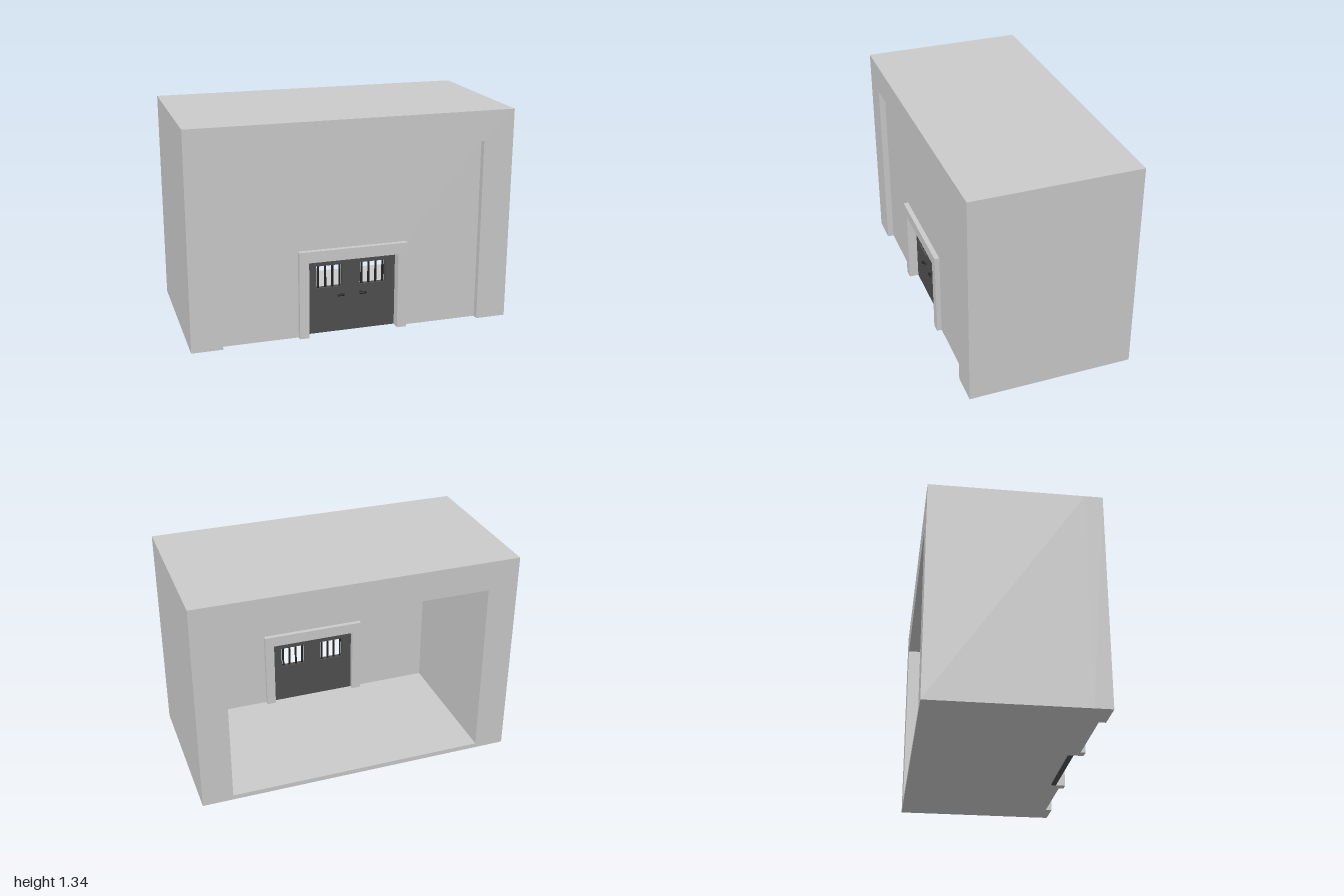
import * as THREE from 'three';

const mat = (color) => new THREE.MeshStandardMaterial({ color, flatShading: true });

export function createModel() {
  const model = new THREE.Group();
  const grey = mat(0xcccccc), dark = mat(0x505050), iron = mat(0x222222);
  const H = 1.335, D = 0.51, floorY = 0.03;

  const add = (name, geometry, material) => {
    const mesh = new THREE.Mesh(geometry, material);
    mesh.name = name;
    model.add(mesh);
    return mesh;
  };
  const polygon = (points) => points.map(([x, y]) => new THREE.Vector2(x, y));
  const rect = (x0, x1, y0, y1) => polygon([[x0, y0], [x1, y0], [x1, y1], [x0, y1]]);
  // Upside-down U standing on the ground
  const arch = (w, h, iw, ih) => polygon([
    [-w, 0], [-iw, 0], [-iw, ih], [iw, ih], [iw, 0], [w, 0], [w, h], [-w, h],
  ]);
  // Extrude an outline (with optional holes) between two z positions
  const slab = (name, outline, z0, z1, material, holes = []) => {
    const shape = new THREE.Shape(outline);
    holes.forEach((h) => shape.holes.push(new THREE.Path(h)));
    const geometry = new THREE.ExtrudeGeometry(shape, { depth: z1 - z0, bevelEnabled: false });
    geometry.translate(0, 0, z0);
    return add(name, geometry, material);
  };

  // Outer shell: hollow room open at the back, and a shallow recess at the front
  slab('roomShell', rect(-1, 1, 0, H), -D, 0.405, grey, [rect(-0.81, 0.81, floorY, 1.15)]);
  slab('frontSurround', arch(1, H, 0.81, 1.15), 0.405, D, grey);

  // Recessed front wall with doorway
  slab('frontWall', arch(0.81, 1.15, 0.28, 0.48), 0.405, 0.47, grey);

  // Door frame standing proud on both sides of the wall
  slab('doorFrame', arch(0.34, 0.55, 0.28, 0.48), 0.375, 0.5, grey);

  // Door with two window openings
  const windows = [-0.1375, 0.1375];
  const winHalf = 0.0825, winLow = 0.29, winHigh = 0.432;
  slab('door', rect(-0.28, 0.28, 0, 0.48), 0.408, 0.44, dark,
    windows.map((x) => rect(x - winHalf, x + winHalf, winLow, winHigh)));

  // Window bars and door handles
  for (const x of windows) {
    for (let i = 0; i < 4; i++) {
      const bar = add('windowBar', new THREE.CylinderGeometry(0.007, 0.007, winHigh - winLow, 8), iron);
      bar.position.set(x + (i - 1.5) * 0.045, (winLow + winHigh) / 2, 0.424);
    }
    const side = Math.sign(x);
    const handle = add('doorHandle', new THREE.CapsuleGeometry(0.008, 0.03, 3, 8), iron);
    handle.rotation.z = Math.PI / 2;
    handle.position.set(side * 0.07, 0.24, 0.458);
    const stem = add('handleStem', new THREE.CylinderGeometry(0.006, 0.006, 0.02, 8), iron);
    stem.rotation.x = Math.PI / 2;
    stem.position.set(side * 0.06, 0.24, 0.448);
  }
  return model;
}
